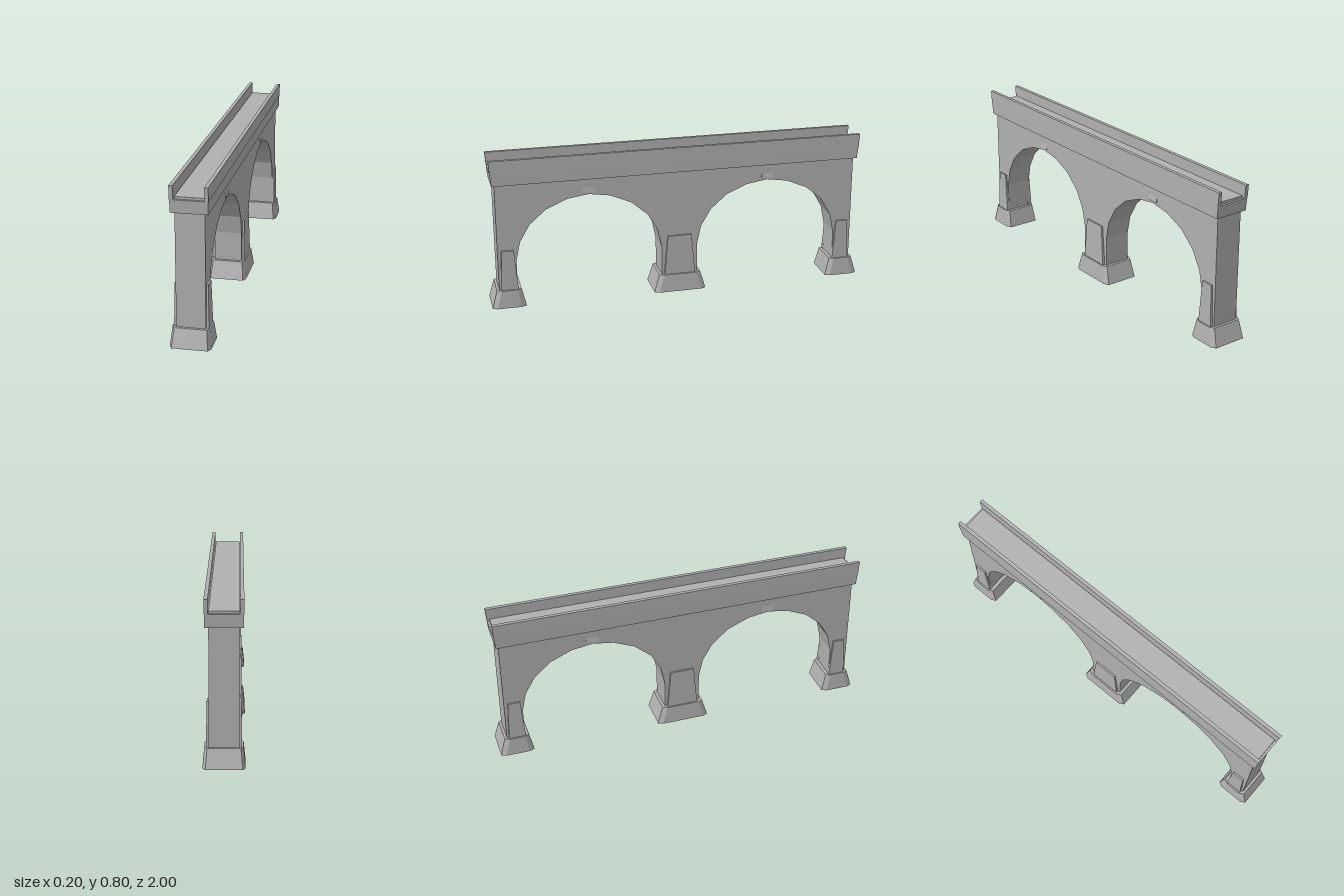
import * as THREE from 'three';

const stone = new THREE.MeshStandardMaterial({ color: 0xb0b0b0 });
stone.name = 'grey stone';
const stoneShell = new THREE.MeshStandardMaterial({ color: 0xb0b0b0, side: THREE.DoubleSide });
stoneShell.name = 'grey stone shell';

function add(group, name, geometry, material = stone) {
  const mesh = new THREE.Mesh(geometry, material);
  mesh.name = name;
  group.add(mesh);
  return mesh;
}

// Box whose footprint changes linearly from bottom to top: [x0, x1, z0, z1]
function taperedBox(y0, y1, bottom, top) {
  const g = new THREE.BoxGeometry(1, 1, 1).toNonIndexed();
  const p = g.attributes.position;
  for (let i = 0; i < p.count; i++) {
    const up = p.getY(i) > 0;
    const f = up ? top : bottom;
    p.setXYZ(i, f[p.getX(i) > 0 ? 1 : 0], up ? y1 : y0, f[p.getZ(i) > 0 ? 3 : 2]);
  }
  g.computeVertexNormals();
  return g;
}

// Hollow footing: chamfered tapered skirt with a lid, open underneath
function footing(h, bottom, top) {
  const ring = ([x, z0, z1], y) => {
    const cx = 0.013, cz = 0.025;
    return [[x, z1 - cz], [x, z0 + cz], [x - cx, z0], [cx - x, z0],
      [-x, z0 + cz], [-x, z1 - cz], [cx - x, z1], [x - cx, z1]].map(([a, b]) => [a, y, b]);
  };
  const lo = ring(bottom, 0), hi = ring(top, h), v = [];
  const centre = [0, h, (top[1] + top[2]) / 2];
  for (let i = 0; i < 8; i++) {
    const j = (i + 1) % 8;
    v.push(lo[i], lo[j], hi[j], lo[i], hi[j], hi[i], hi[i], hi[j], centre);
  }
  const g = new THREE.BufferGeometry();
  g.setAttribute('position', new THREE.Float32BufferAttribute(v.flat(), 3));
  g.computeVertexNormals();
  return g;
}

export function createModel() {
  const bridge = new THREE.Group();
  bridge.name = 'archBridge';

  // Wall with two faceted arches; offsets are measured from each arch centre
  const half = [[0.384, 0.085], [0.384, 0.25], [0.362, 0.35], [0.309, 0.44],
    [0.223, 0.515], [0.111, 0.563], [0, 0.58]];
  const arch = [...half, ...half.slice(0, -1).reverse().map(([z, y]) => [-z, y])];
  const outline = [[-0.96, 0.67], [-0.96, 0.085]];
  for (const c of [-0.48, 0.48]) {
    for (const [z, y] of arch) outline.push([c - z, y]);
  }
  outline.push([0.96, 0.085], [0.96, 0.67]);
  const wall = new THREE.ExtrudeGeometry(
    new THREE.Shape(outline.map(([z, y]) => new THREE.Vector2(z, y))),
    { depth: 0.142, bevelEnabled: false });
  wall.translate(0, 0, -0.071).rotateY(-Math.PI / 2);
  add(bridge, 'archWall', wall);

  // Footings under the three piers
  add(bridge, 'middleFooting', footing(0.095, [0.1, -0.14, 0.14], [0.091, -0.112, 0.112]), stoneShell);
  add(bridge, 'frontFooting', footing(0.095, [0.1, 0.823, 1], [0.091, 0.845, 0.973]), stoneShell);
  add(bridge, 'backFooting', footing(0.095, [0.1, -1, -0.823], [0.091, -0.973, -0.845]), stoneShell);

  // Tapered buttress plates on both faces of each pier
  const buttresses = [
    ['middleButtress', [-0.083, 0.083], [-0.064, 0.064]],
    ['frontButtress', [0.861, 0.95], [0.877, 0.94]],
    ['backButtress', [-0.95, -0.861], [-0.94, -0.877]],
  ];
  for (const [name, b, t] of buttresses) {
    add(bridge, name + 'Left', taperedBox(0.09, 0.31, [0.06, 0.084, ...b], [0.06, 0.08, ...t]));
    add(bridge, name + 'Right', taperedBox(0.09, 0.31, [-0.084, -0.06, ...b], [-0.08, -0.06, ...t]));
  }

  // Small wedge keystones above the arches
  for (const c of [-0.48, 0.48]) {
    const z = [c - 0.032, c + 0.032];
    add(bridge, 'keystone', taperedBox(0.59, 0.616, [-0.075, 0.075, ...z], [-0.071, 0.071, ...z]));
  }

  // Deck beam, roadway and the two parapets
  add(bridge, 'deckBeam', taperedBox(0.665, 0.73, [-0.089, 0.089, -0.974, 0.974], [-0.09, 0.09, -0.98, 0.98]));
  const road = [-0.07, 0.07, -0.968, 0.968];
  add(bridge, 'roadway', taperedBox(0.725, 0.742, road, road));
  for (const s of [-1, 1]) {
    const x = [s * 0.073, s * 0.0915].sort((a, b) => a - b);
    add(bridge, s > 0 ? 'leftParapet' : 'rightParapet',
      taperedBox(0.729, 0.798, [...x, -0.98, 0.98], [...x, -0.985, 0.985]));
  }
  return bridge;
}
